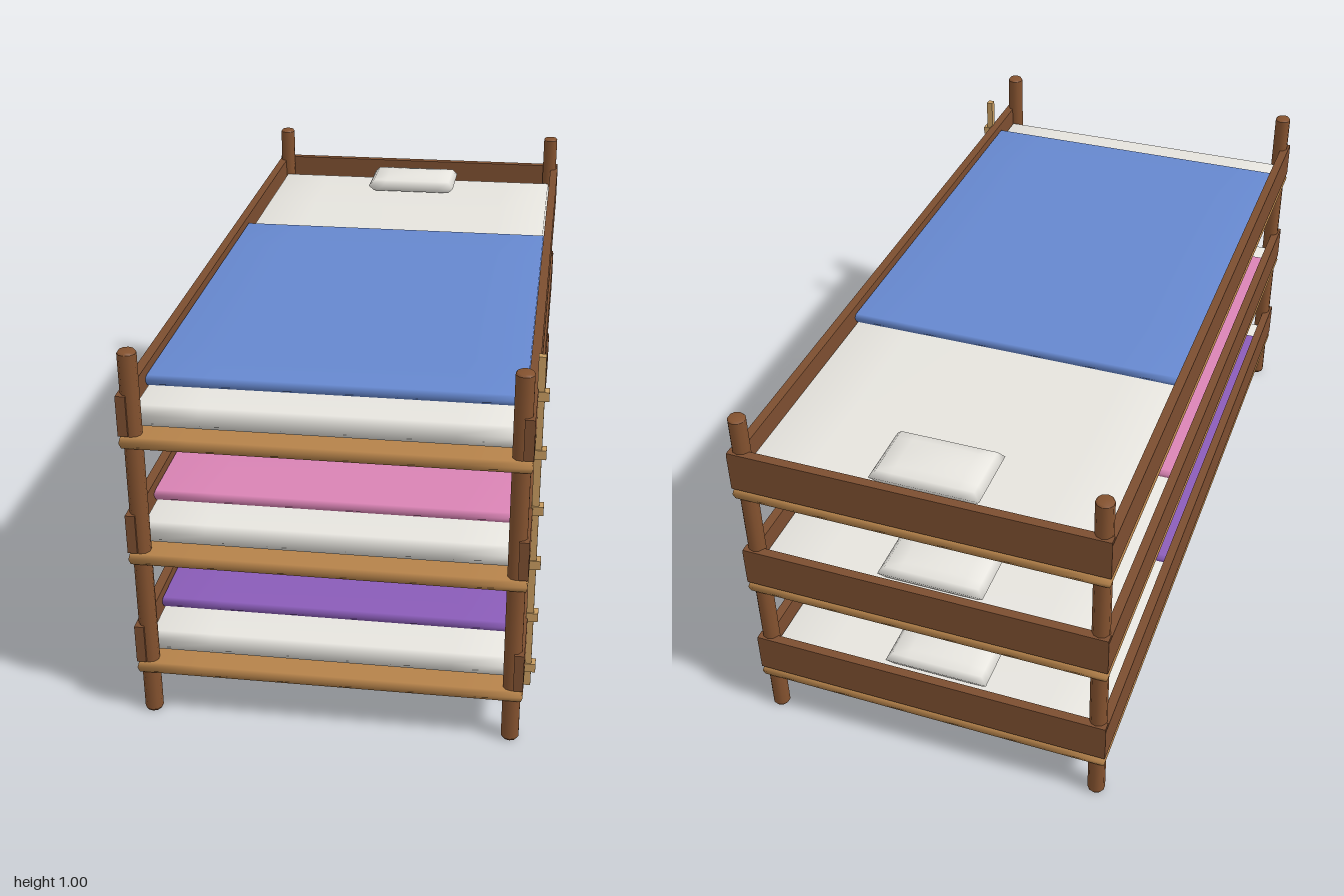
import * as THREE from 'three';
import { mergeVertices } from 'three/addons/utils/BufferGeometryUtils.js';

const mat = (color) => new THREE.MeshStandardMaterial({ color });
const postWood = mat(0x84522f);
const railWood = mat(0x7c4e30);
const baseWood = mat(0xb5824a);
const ladderWood = mat(0xc79c60);
const linen = mat(0xe6e4de);

const CX = -0.013; // middle of the bed; the ladder widens it on one side

function place(parent, geometry, material, name, x, y, z) {
  const mesh = new THREE.Mesh(geometry, material);
  mesh.name = name;
  mesh.position.set(x, y, z);
  parent.add(mesh);
  return mesh;
}

// Box with softly swelling faces and smooth normals; pinch thins its rim
function softBox(w, h, d, bulge, pinch = 0, seg = 6) {
  let g = new THREE.BoxGeometry(w, h, d, seg, 2, seg);
  g.deleteAttribute('uv');
  g.deleteAttribute('normal');
  g = mergeVertices(g);
  const p = g.attributes.position;
  for (let i = 0; i < p.count; i++) {
    const u = (2 * p.getX(i)) / w, t = (2 * p.getY(i)) / h, v = (2 * p.getZ(i)) / d;
    const dome = (1 - u * u) * (1 - v * v);
    const shrink = 1 - 0.25 * pinch * t * t;
    const y = (t * h / 2) * (1 - pinch * (1 - dome)) + t * bulge * dome;
    const side = 0.004 * (1 - t * t);
    p.setXYZ(i, p.getX(i) * shrink + u * side, y, p.getZ(i) * shrink + v * side);
  }
  g.computeVertexNormals();
  return g;
}

// Octagonal post with a slightly bevelled top and bottom
function postGeometry() {
  const profile = [[0, 0], [0.019, 0], [0.023, 0.006], [0.023, 0.006], [0.023, 0.994], [0.023, 0.994], [0.019, 1], [0, 1]];
  return new THREE.LatheGeometry(profile.map(([r, y]) => new THREE.Vector2(r, y)), 10);
}

// One bunk: base, three rails, mattress, pillow and blanket; y is the base top
function bunk(y, blanketColor) {
  const g = new THREE.Group();
  g.name = 'bunk';
  place(g, softBox(0.96, 0.03, 1.992, 0.003), baseWood, 'base', CX, y - 0.017, 0);
  for (const s of [-1, 1]) {
    place(g, new THREE.BoxGeometry(0.024, 0.103, 2), railWood, 'sideRail', CX + s * 0.472, y + 0.053, 0);
  }
  place(g, new THREE.BoxGeometry(0.966, 0.111, 0.024), railWood, 'backRail', CX, y + 0.057, -0.988);
  place(g, softBox(0.908, 0.055, 1.886, 0.002), linen, 'mattress', CX, y + 0.03, -0.003);
  place(g, softBox(0.915, 0.027, 1.15, 0.002), mat(blanketColor), 'blanket', CX, y + 0.071, 0.255);
  place(g, softBox(0.275, 0.056, 0.17, 0.001, 0.35), linen, 'pillow', CX, y + 0.083, -0.85);
  return g;
}

export function createModel() {
  const model = new THREE.Group();
  model.name = 'tripleBunkBed';

  // Corner posts
  const post = postGeometry();
  for (const sx of [-1, 1]) {
    for (const sz of [-1, 1]) {
      place(model, post, postWood, 'cornerPost', CX + sx * 0.456, 0, sz * 0.972);
    }
  }

  // Three stacked bunks
  [0x8a5cb8, 0xd983b4, 0x6688cf].forEach((color, i) => model.add(bunk(0.155 + i * 0.317, color)));

  // Single-pole ladder with short pegs
  const ladder = new THREE.Group();
  ladder.name = 'ladder';
  place(ladder, new THREE.BoxGeometry(0.018, 0.92, 0.02), ladderWood, 'ladderPole', 0.477, 0.515, 0.822);
  for (let i = 0; i < 6; i++) {
    place(ladder, new THREE.BoxGeometry(0.03, 0.024, 0.027), ladderWood, 'ladderPeg', 0.482, 0.11 + i * 0.153, 0.822);
  }
  model.add(ladder);
  return model;
}
